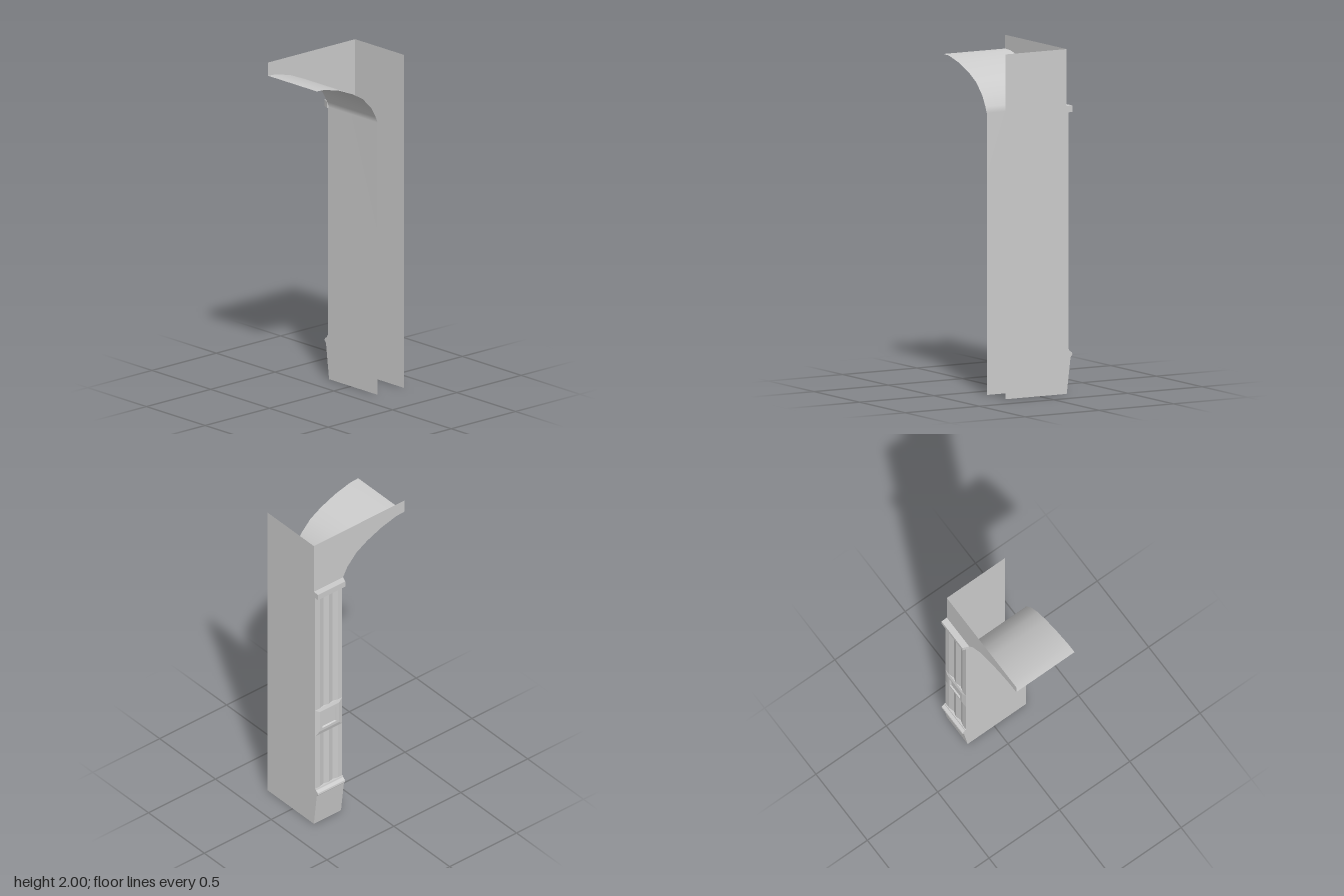
import * as THREE from 'three';

const X0 = -0.188, X1 = 0.226;      // side wall and open side
const ZB = -0.338, ZF = -0.135;     // back and front of the pier
const ZT = 0.338, TOP = 2;          // tip of the half arch, overall height
const flat = new THREE.MeshStandardMaterial({ color: 0xcccccc, flatShading: true, side: THREE.DoubleSide });
const smooth = new THREE.MeshStandardMaterial({ color: 0xcccccc, side: THREE.DoubleSide });

// Surface through rows of points, each row having the same number of points
function loft(rows) {
  const n = rows[0].length, index = [];
  for (let r = 0; r < rows.length - 1; r++)
    for (let i = 0; i < n - 1; i++) {
      const a = r * n + i, b = a + n;
      index.push(a, a + 1, b, a + 1, b + 1, b);
    }
  const g = new THREE.BufferGeometry();
  g.setAttribute('position', new THREE.Float32BufferAttribute(rows.flat(2), 3));
  g.setIndex(index);
  g.computeVertexNormals();
  return g;
}
const shapeOf = pts => new THREE.Shape(pts.map(p => new THREE.Vector2(...p)));

export function createModel() {
  const model = new THREE.Group();
  const add = (name, geometry, material = flat) => {
    const mesh = new THREE.Mesh(geometry, material);
    mesh.name = name;
    model.add(mesh);
    return mesh;
  };

  // Plain back wall
  add('backWall', loft([[[X1, 0, ZB], [X0, 0, ZB]], [[X1, TOP, ZB], [X0, TOP, ZB]]]));

  // Front of the pier, running up into the underside of the half arch [z, y]
  const arch = [[ZF, 1.634], [-0.12, 1.67], [-0.087, 1.73], [-0.019, 1.8],
    [0.061, 1.846], [0.167, 1.889], [0.278, 1.917], [ZT, 1.92]];
  add('frontWallAndArch', loft([[ZF, 0], ...arch].map(([z, y]) => [[X0, y, z], [X1, y, z]])), smooth);

  // Side panel above the capital, cut to the arch
  const side = new THREE.ShapeGeometry(shapeOf([...arch, [ZT, TOP], [ZB, TOP], [ZB, 1.634]]));
  side.rotateY(-Math.PI / 2).translate(X0, 0, 0);
  add('archSidePanel', side);

  // Capital slab with its angled front end
  const capital = new THREE.ExtrudeGeometry(
    shapeOf([[X0, ZB], [-0.226, ZB], [-0.226, ZF], [X0, -0.12]]), { depth: 0.038, bevelEnabled: false });
  capital.rotateX(Math.PI / 2).translate(0, 1.67, 0);
  add('capital', capital);

  // Fluted shaft above and below the block, two V grooves wide [x, z]
  const F = -0.199;
  const flutes = [[X0, ZF], [F, ZF], [F, -0.168], [-0.189, -0.201], [F, -0.235],
    [-0.189, -0.268], [F, -0.302], [F, ZB], [X0, ZB]];
  for (const [name, y0, y1] of [['lowerShaft', 0.258, 0.635], ['upperShaft', 0.82, 1.634]])
    add(name, loft([y0, y1].map(y => flutes.map(([x, z]) => [x, y, z]))));

  // Bevelled block with a square sunk panel: [x, z min, z max, y min, y max]
  const loops = [
    [X0, ZB, ZF, 0.635, 0.82], [F, ZB, ZF, 0.635, 0.82],
    [-0.206, -0.308, -0.165, 0.66, 0.8], [-0.206, -0.287, -0.183, 0.677, 0.778],
    [-0.197, -0.282, -0.188, 0.682, 0.773],
  ];
  add('panelBlock', loft(loops.map(([x, a, b, c, d]) =>
    [[x, c, a], [x, c, b], [x, d, b], [x, d, a], [x, c, a]])));
  const floor = add('sunkPanel', new THREE.PlaneGeometry(0.094, 0.091));
  floor.rotation.y = -Math.PI / 2;
  floor.position.set(-0.197, 0.7275, -0.235);

  // Flared base and moulding, closed at both ends [x, y]
  const base = [[X0, 0], [-0.214, 0.212], [-0.226, 0.226], [-0.224, 0.238],
    [-0.206, 0.25], [-0.204, 0.258], [X0, 0.258]];
  add('base', loft([ZB, ZF].map(z => base.map(([x, y]) => [x, y, z]))));
  for (const z of [ZB, ZF])
    add('baseEnd', new THREE.ShapeGeometry(shapeOf(base)).translate(0, 0, z));

  return model;
}
